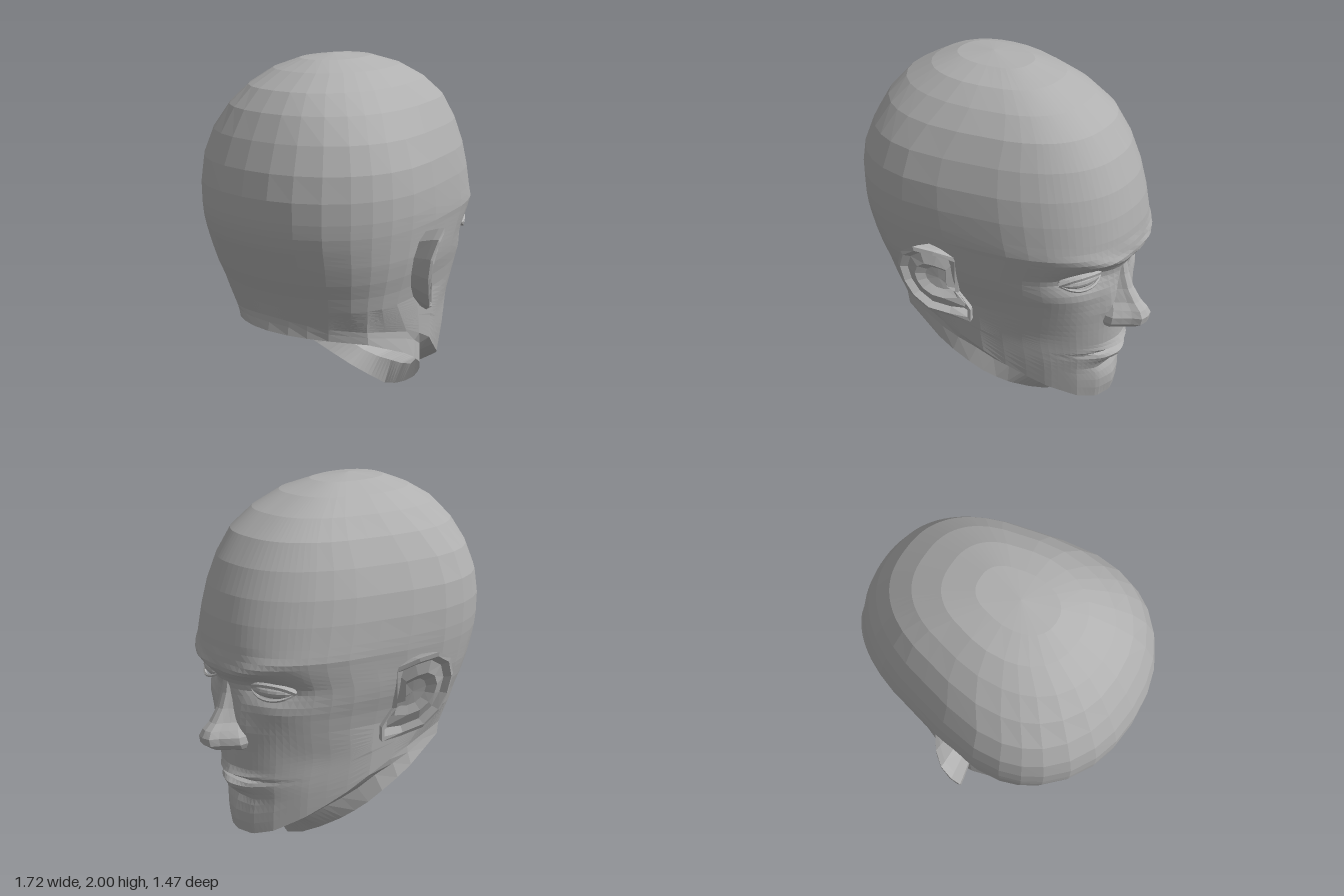
import * as THREE from 'three';

const skin = new THREE.MeshStandardMaterial({ color: 0xb0b0b0, flatShading: true, side: THREE.DoubleSide });
skin.name = 'grey clay';

// Joins rows of points into a surface
function loft(name, rows, closed) {
  const n = rows[0].length, pos = rows.flat(2), index = [];
  for (let i = 0; i < rows.length - 1; i++) {
    for (let j = 0; j < (closed ? n : n - 1); j++) {
      const k = (j + 1) % n;
      const a = i * n + j, b = i * n + k, c = a + n, d = b + n;
      index.push(a, b, c, b, d, c);
    }
  }
  const g = new THREE.BufferGeometry();
  g.setAttribute('position', new THREE.Float32BufferAttribute(pos, 3));
  g.setIndex(index);
  g.computeVertexNormals();
  return part(name, g);
}

function part(name, geometry) {
  const m = new THREE.Mesh(geometry, skin);
  m.name = name;
  return m;
}

// Linear lookup in a table whose first column is an ascending key
function lookup(table, key) {
  let i = 0;
  while (i < table.length - 2 && key > table[i + 1][0]) i++;
  const a = table[i], b = table[i + 1];
  const t = THREE.MathUtils.clamp((key - a[0]) / (b[0] - a[0]), 0, 1);
  return a.slice(1).map((v, k) => v + (b[k + 1] - v) * t);
}

// Skull sections: height, front x, back x, half width, front roundness, back roundness
const skull = [
  [0.75, 0.685, -0.70, 0.53, 0.9, 0.92], [0.83, 0.685, -0.73, 0.55, 0.9, 0.92],
  [0.91, 0.69, -0.768, 0.575, 0.89, 0.92], [1.0, 0.70, -0.80, 0.597, 0.87, 0.92],
  [1.1, 0.73, -0.835, 0.612, 0.82, 0.92], [1.17, 0.745, -0.852, 0.622, 0.8, 0.92],
  [1.24, 0.742, -0.858, 0.628, 0.84, 0.92], [1.35, 0.725, -0.86, 0.63, 0.87, 0.92],
  [1.48, 0.69, -0.835, 0.615, 0.88, 0.91], [1.62, 0.63, -0.78, 0.565, 0.86, 0.9],
  [1.75, 0.54, -0.71, 0.485, 0.82, 0.88], [1.85, 0.41, -0.62, 0.39, 0.8, 0.86],
  [1.93, 0.25, -0.48, 0.285, 0.8, 0.85], [1.98, 0.08, -0.35, 0.15, 0.8, 0.85],
];
// Rings below the skull: angle from the front, x, y, z
const jaw = [
  [0, 0.64, 0.135, 0], [0.25, 0.615, 0.13, 0.09], [0.5, 0.545, 0.16, 0.185], [0.75, 0.42, 0.235, 0.29],
  [1, 0.25, 0.34, 0.39], [1.25, 0.09, 0.465, 0.47], [1.5, -0.1, 0.55, 0.5],
  [2, -0.43, 0.62, 0.455], [2.5, -0.6, 0.65, 0.31], [2.85, -0.66, 0.67, 0.16], [Math.PI, -0.68, 0.68, 0],
];
const throat = [
  [0, 0.36, 0.125, 0], [0.25, 0.35, 0.13, 0.09], [0.5, 0.32, 0.16, 0.18], [0.75, 0.25, 0.24, 0.27],
  [1, 0.14, 0.33, 0.37], [1.25, 0.03, 0.44, 0.45], [1.5, -0.11, 0.51, 0.5],
  [2, -0.425, 0.59, 0.455], [2.5, -0.595, 0.625, 0.305], [2.85, -0.66, 0.64, 0.16], [Math.PI, -0.68, 0.645, 0],
];
const neckCut = [
  [0, 0.3, 0, 0], [0.25, 0.28, 0.03, 0.1], [0.5, 0.23, 0.085, 0.2], [0.75, 0.17, 0.16, 0.31],
  [1, 0.09, 0.25, 0.41], [1.25, 0, 0.345, 0.475], [1.5, -0.13, 0.43, 0.51],
  [2, -0.42, 0.55, 0.455], [2.5, -0.59, 0.585, 0.3], [2.85, -0.665, 0.595, 0.16], [Math.PI, -0.69, 0.6, 0],
];

// Facial relief: y, z, y spread, z spread, push, tilt
const relief = [
  [1.07, 0.2, 0.04, 0.17, 0.035, 0.2],      // brow ridge
  [1.11, 0, 0.06, 0.1, 0.02, 0],            // between the brows
  [1.0, 0.245, 0.06, 0.13, -0.06, 0],       // eye socket
  [0.86, 0.33, 0.08, 0.12, 0.02, 0],        // cheekbone
  [0.8, 0.09, 0.12, 0.06, 0.02, 0],         // side of the nose
  [0.58, 0.36, 0.12, 0.1, -0.025, 0],       // cheek hollow
  [0.54, 0, 0.12, 0.16, 0.012, 0],          // muzzle
  [0.49, 0, 0.024, 0.15, 0.028, -0.05],     // upper lip
  [0.462, 0, 0.012, 0.17, -0.04, 0],        // mouth line
  [0.42, 0, 0.034, 0.14, 0.034, 0.1],       // lower lip
  [0.345, 0, 0.035, 0.14, -0.025, 0],       // chin fold
  [0.22, 0, 0.06, 0.12, 0.012, 0],          // chin
];
function sculpt([x, y, z]) {
  if (x < 0.1) return [x, y, z];
  let dx = 0;
  for (const [y0, z0, sy, sz, push, tilt] of relief) {
    const v = (y - y0 - tilt * Math.abs(z)) / sy, h = (Math.abs(z) - z0) / sz;
    dx += push * Math.exp(-v * v - h * h);
  }
  return [x + dx, y, z];
}

// Egg-shaped section, narrower toward the face
function skullPoint(y, angle) {
  const { smoothstep, clamp } = THREE.MathUtils;
  const [front, back, width, frontPower, backPower] = lookup(skull, y);
  const mid = -0.28 + 0.14 * smoothstep(y, 1.55, 1.95);
  const c = Math.cos(angle);
  const power = c > 0 ? frontPower : backPower;
  const reach = c > 0 ? front - mid : mid - back;
  const narrow = 1 - (0.035 + 0.03 * smoothstep(y, 0.9, 1.15)) * clamp(3 * c, 0, 1);
  return [mid + Math.sign(c) * reach * Math.abs(c) ** power, y, width * narrow * Math.abs(Math.sin(angle)) ** power];
}

function makeHead() {
  // Fine columns over the face, broad ones over the back
  const half = [];
  for (let i = 0; i < 15; i++) half.push(i * 0.055);
  half.push(0.9, 1.05, 1.22, 1.4, 1.57, 1.8, 2.0, 2.2, 2.45, 2.7, 2.92);
  const ring = (fn) => {
    const side = half.map(fn);
    const mirrored = side.slice(1).reverse().map(([x, y, z]) => [x, y, -z]);
    return [...side, fn(Math.PI), ...mirrored].map(sculpt);
  };
  const rows = [ring(() => [-0.15, 2, 0])];
  for (const y of [1.98, 1.93, 1.85, 1.75, 1.62, 1.48, 1.35, 1.24, 1.2, 1.165, 1.135, 1.11, 1.085, 1.06,
    1.035, 1.01, 0.98, 0.95, 0.91, 0.87, 0.83, 0.79, 0.75]) rows.push(ring((a) => skullPoint(y, a)));
  // Lower face blends from the skull into the jaw
  for (const y of [0.69, 0.64, 0.6, 0.56, 0.53, 0.508, 0.49, 0.474, 0.462, 0.45, 0.43, 0.405,
    0.375, 0.345, 0.31, 0.26, 0.2, 0.135]) {
    const t = (0.75 - y) / 0.615;
    rows.push(ring((a) => {
      const low = lookup(jaw, a);
      return skullPoint(0.75, a).map((v, k) => v + (low[k] - v) * t);
    }));
  }
  rows.push(ring((a) => lookup(throat, a)), ring((a) => lookup(neckCut, a)));
  return loft('head', rows, true);
}

function makeNose() {
  // Height, front x, half width
  const rows = [
    [1.09, 0.73, 0.06], [1.02, 0.705, 0.055], [0.95, 0.72, 0.065], [0.87, 0.75, 0.075],
    [0.8, 0.80, 0.088], [0.765, 0.84, 0.108], [0.73, 0.86, 0.13], [0.69, 0.852, 0.135],
    [0.66, 0.81, 0.122], [0.635, 0.73, 0.09], [0.625, 0.66, 0.06],
  ];
  const section = [[-1, 0], [-0.98, 0.45], [-0.75, 0.62], [-0.52, 0.78], [-0.34, 0.96], [0, 1],
    [0.34, 0.96], [0.52, 0.78], [0.75, 0.62], [0.98, 0.45], [1, 0]];
  return loft('nose', rows.map(([y, x, w]) => section.map(([z, k]) => [0.6 + (x - 0.6) * k, y, z * w])), false);
}

function makeEye() {
  const eye = new THREE.Group();
  const ball = part('eyeball', new THREE.SphereGeometry(1, 16, 10));
  ball.scale.set(0.07, 0.044, 0.13);
  eye.add(ball);
  for (const [name, s, r] of [['upperEyelid', 1, 0.014], ['lowerEyelid', -1, 0.009]]) {
    const path = [[0.01, 0, -0.13], [0.055, 0.032, -0.065], [0.065, 0.04, 0.015], [0.045, 0.028, 0.08], [0.01, 0, 0.13]];
    const curve = new THREE.CatmullRomCurve3(path.map(([x, y, z]) => new THREE.Vector3(x, y * s, z)));
    eye.add(part(name, new THREE.TubeGeometry(curve, 10, r, 5)));
  }
  eye.position.set(0.575, 1, 0.245);
  eye.rotation.y = -0.4;
  return eye;
}

function makeEar() {
  const outline = [[0.02, 1.06], [-0.06, 1.13], [-0.14, 1.165], [-0.21, 1.12], [-0.25, 1.02], [-0.24, 0.91],
    [-0.2, 0.81], [-0.13, 0.72], [-0.04, 0.665], [0.06, 0.65], [0.06, 0.73], [0, 0.83], [0.01, 0.95]];
  // Scale and depth of each ring, from the root over the rim into the bowl
  const rings = [[0.75, -0.16], [0.96, -0.035], [1, 0], [0.9, 0.005], [0.78, -0.03], [0.5, -0.015], [0.32, -0.05], [0, -0.055]];
  return loft('ear', rings.map(([s, dz]) => outline.map(([ox, oy]) => {
    const x = -0.09 + (ox + 0.09) * s, y = 0.92 + (oy - 0.92) * s;
    return [x, y, Math.max(0.51, 0.585 - 1.25 * x - 2.6 * x * x + 0.2 * (y - 1.1)) + dz];
  })), true);
}

export function createModel() {
  const model = new THREE.Group();
  model.name = 'headBust';
  model.add(makeHead(), makeNose());
  for (const [side, s] of [['left', 1], ['right', -1]]) {
    const pair = new THREE.Group();
    pair.name = side + 'EyeAndEar';
    const eye = makeEye(), ear = makeEar();
    eye.name = side + 'Eye';
    ear.name = side + 'Ear';
    pair.add(eye, ear);
    pair.scale.z = s;
    model.add(pair);
  }
  return model;
}
